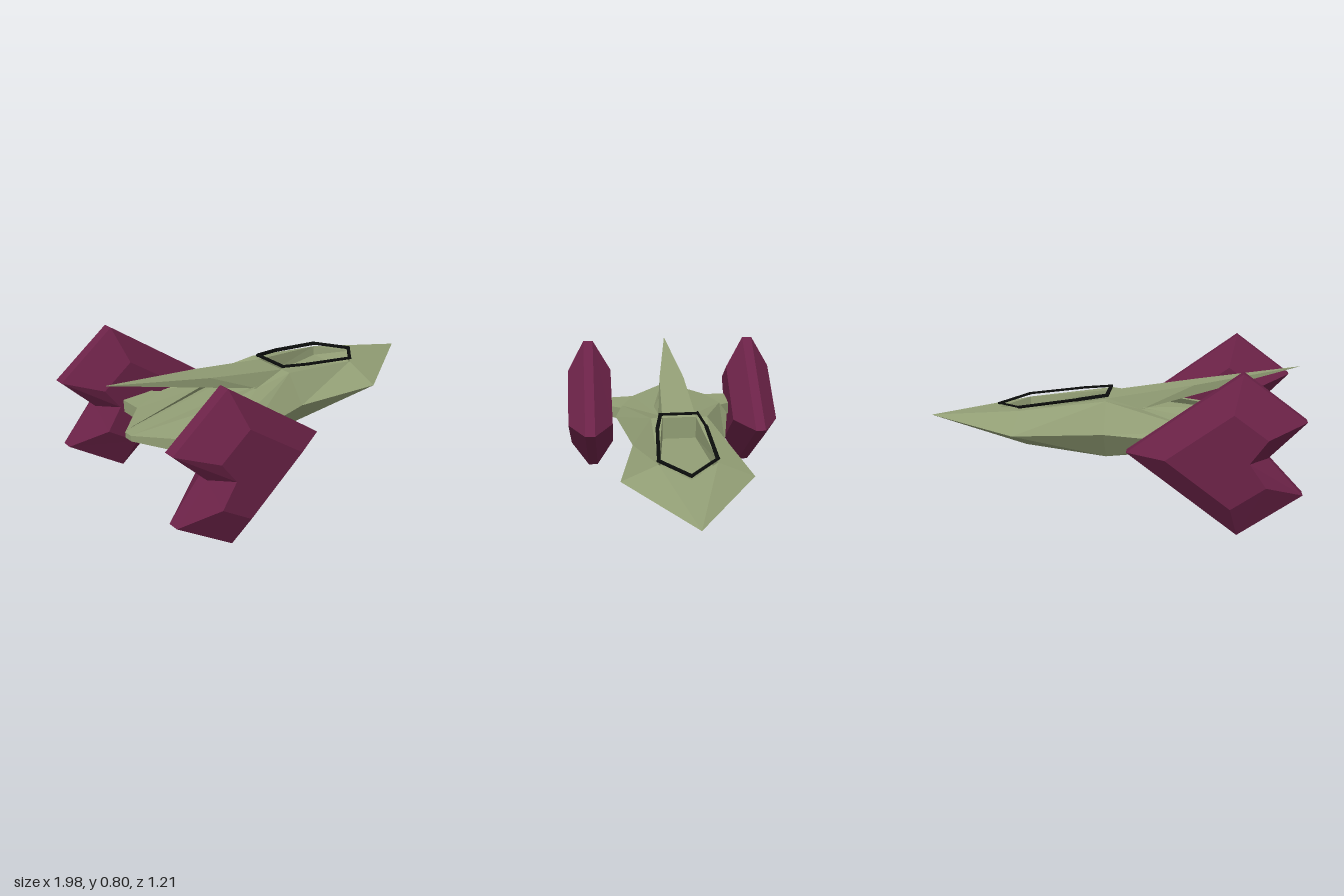
import * as THREE from 'three';

const V = (x, y, z) => [x, y, z];
const flip = ([x, y, z]) => [x, y, -z];

// Flat-faced geometry from convex polygons
function facets(polys) {
  const out = [];
  for (const p of polys)
    for (let i = 1; i < p.length - 1; i++) out.push(...p[0], ...p[i], ...p[i + 1]);
  const g = new THREE.BufferGeometry();
  g.setAttribute('position', new THREE.Float32BufferAttribute(out, 3));
  g.computeVertexNormals();
  return g;
}
const mirrored = polys => [...polys, ...polys.map(p => p.map(flip).reverse())];
// Polygon that spans the centre plane between two points and their mirror images
const across = (a, b) => [a, b, flip(b), flip(a)];

export function createModel() {
  const group = new THREE.Group();
  const mat = (name, color) => {
    const m = new THREE.MeshStandardMaterial({ color, flatShading: true, side: THREE.DoubleSide });
    m.name = name;
    return m;
  };
  const green = mat('hull green', 0x929e75);
  const maroon = mat('pod maroon', 0x6b2247);
  const black = mat('rim black', 0x0a0c0b);
  const add = (name, geo, material) => {
    const m = new THREE.Mesh(geo, material);
    m.name = name;
    group.add(m);
    return m;
  };

  // Hull corner points on the left side
  const nose = V(0.99, 0.4, 0), rimTip = V(0.6, 0.46, 0);
  const top1 = V(0.46, 0.482, 0.145), top0 = V(0, 0.55, 0.15), hole0 = V(0, 0.55, 0.09);
  const side1 = V(0.46, 0.4, 0.33), side0 = V(0, 0.4, 0.25), side2 = V(-0.45, 0.4, 0.33);
  const keel1 = V(0.46, 0.25, 0), keel0 = V(0, 0.25, 0), low0 = V(0, 0.25, 0.15);
  const top2 = V(-0.5, 0.45, 0.29), low2 = V(-0.5, 0.365, 0.31);
  const top3 = V(-0.7, 0.44, 0.22), low3 = V(-0.7, 0.365, 0.22);
  const belly = V(-0.55, 0.31, 0.12), deck = V(-0.18, 0.5, 0.1);
  const end = V(-0.89, 0.45, 0.025), endLow = V(-0.89, 0.42, 0.025);

  add('frontHull', facets(mirrored([
    [nose, top1, side1], [nose, rimTip, top1],
    [top1, top0, side0, side1], [top1, hole0, top0],
    [nose, side1, keel1], [side1, low0, keel1], [side1, side0, low0], [keel1, low0, keel0],
  ])), green);

  add('rearHull', facets([
    ...mirrored([
      [hole0, deck, top0], [top0, deck, top2], [deck, top3, top2], [deck, end, top3],
      [top0, top2, side2, side0], [side0, side2, low2, low0], [top2, low2, side2],
      [low0, low2, belly], [belly, low2, low3], [belly, low3, endLow],
      [top3, end, endLow, low3], [top2, top3, low3, low2],
    ]),
    across(deck, end), across(low0, belly), across(belly, endLow), across(end, endLow),
  ]), green);

  // Swept tail spike
  const shoulder = V(-0.45, 0.63, 0.07), tip = V(-0.99, 0.73, 0);
  add('tailSpike', facets([
    ...mirrored([[hole0, shoulder, deck], [deck, shoulder, tip]]),
    across(hole0, shoulder), [shoulder, tip, flip(shoulder)], [deck, flip(deck), tip],
  ]), green);

  // Open cockpit well
  const floor0 = V(0, 0.43, 0.09), floor1 = V(0.46, 0.43, 0.14);
  add('cockpitWell', facets([
    ...mirrored([[hole0, top1, floor1, floor0], [rimTip, floor1, top1]]),
    across(hole0, floor0), across(floor0, floor1), [rimTip, floor1, flip(floor1)],
  ]), green);

  // Cockpit rim made of thin bars
  const half = [V(0, 0.57, 0.1), V(0.15, 0.549, 0.127), V(0.46, 0.502, 0.143)];
  const rim = [...half, V(0.6, 0.48, 0), ...half.map(flip).reverse()];
  rim.forEach((p, i) => {
    const a = new THREE.Vector3(...p), b = new THREE.Vector3(...rim[(i + 1) % rim.length]);
    const d = b.clone().sub(a);
    const bar = add('cockpitRim', new THREE.BoxGeometry(d.length() + 0.014, 0.009, 0.018), black);
    bar.position.copy(a).add(b).multiplyScalar(0.5);
    bar.quaternion.setFromUnitVectors(new THREE.Vector3(1, 0, 0), d.normalize());
  });

  // Chevron pod profiles: full outline and the smaller flat face
  const mirrorY = p => [p[0], 0.8 - p[1]];
  const chevron = (front, peak, tail, notch) =>
    [front, peak, tail, notch, mirrorY(tail), mirrorY(peak)];
  const outer = chevron([-0.14, 0.4], [-0.68, 0.8], [-0.98, 0.58], [-0.81, 0.4]);
  const inner = chevron([-0.33, 0.4], [-0.64, 0.63], [-0.8, 0.515], [-0.72, 0.4]);
  const rings = [[inner, 0.35], [outer, 0.45], [outer, 0.505], [inner, 0.603]]
    .map(([ring, z]) => ring.map(([x, y]) => V(x, y, z)));
  const podFaces = [];
  for (let r = 0; r < 3; r++)
    for (let i = 0; i < 6; i++) {
      const j = (i + 1) % 6;
      podFaces.push([rings[r][i], rings[r][j], rings[r + 1][j], rings[r + 1][i]]);
    }
  for (const [f, p, t, n, lt, lp] of [rings[0], rings[3]])
    podFaces.push([n, f, p, t], [n, lt, lp, f]);

  for (const s of [1, -1]) {
    const side = s > 0 ? 'left' : 'right';
    const m = polys => (s > 0 ? polys : polys.map(q => q.map(flip).reverse()));
    add(side + 'Pod', facets(m(podFaces)), maroon);

    // Stub wing joining the pod
    const a = V(-0.48, 0.44, 0.28), b = V(-0.54, 0.435, 0.36), c = V(-0.7, 0.435, 0.36), d = V(-0.7, 0.44, 0.2);
    const low = p => V(p[0], 0.368, p[2]);
    add(side + 'StubWing', facets(m([
      [a, d, c, b], [a, b, c, d].map(low),
      [a, b, low(b), low(a)], [b, c, low(c), low(b)], [c, d, low(d), low(c)],
    ])), green);

    // Slim spine beside the tail deck
    const spine = [V(-0.18, 0.51, 0.1), V(-0.38, 0.515, 0.085), V(-0.38, 0.48, 0.11), V(-0.88, 0.455, 0.03)];
    const [p, q, r, e] = spine;
    add(side + 'DeckSpine', facets(m([[p, q, r], [q, e, r]])), green);
  }
  return group;
}
